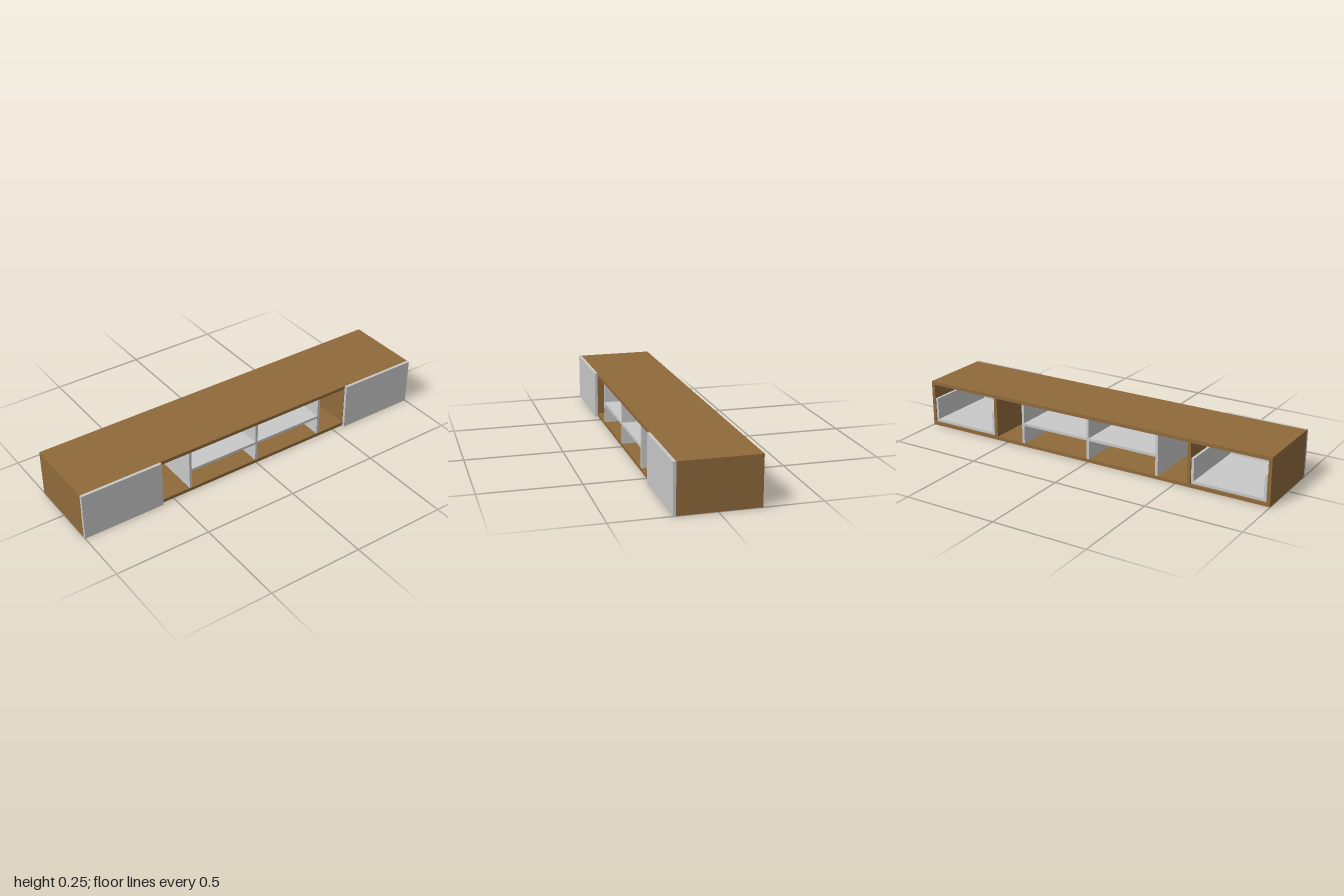
import * as THREE from 'three';

const wood = new THREE.MeshStandardMaterial({ color: 0x8f6a3b });
wood.name = 'wood';
const pale = new THREE.MeshStandardMaterial({ color: 0xc9c9c9 });
pale.name = 'paleGrey';

const BACK = -0.208, FRONT = 0.193, FACE = 0.208; // depth planes
const HEIGHT = 0.25, T = 0.018, S = 0.014; // height, case board, thin board

export function createModel() {
  const model = new THREE.Group();
  model.name = 'lowCabinet';

  // Board given by its limits along each axis
  function board(name, material, x0, x1, y0, y1, z0 = BACK, z1 = FRONT, parent = model) {
    const mesh = new THREE.Mesh(new THREE.BoxGeometry(x1 - x0, y1 - y0, z1 - z0), material);
    mesh.position.set((x0 + x1) / 2, (y0 + y1) / 2, (z0 + z1) / 2);
    mesh.name = name;
    parent.add(mesh);
  }

  // Outer case, open at the back
  board('bottomPanel', wood, -1, 1, 0, T);
  board('topPanel', wood, -1, 1, HEIGHT - T, HEIGHT);

  for (const [side, s] of [['left', 1], ['right', -1]]) {
    // Mirrored board: near and far are distances from the centre line
    const pair = (name, material, near, far, ...rest) =>
      board(side + name, material, Math.min(s * near, s * far), Math.max(s * near, s * far), ...rest);

    pair('EndPanel', wood, 1 - T, 1, T, HEIGHT - T);
    pair('CasePartition', wood, 0.565, 0.565 + T, T, HEIGHT - T);

    // Drawer: front plate, floor and two low sides
    const drawer = new THREE.Group();
    drawer.name = side + 'Drawer';
    model.add(drawer);
    const inner = 0.586, outer = 0.979;
    pair('DrawerFront', pale, 0.567, 1, 0, HEIGHT, FRONT, FACE, drawer);
    pair('DrawerFloor', pale, inner, outer, 0.022, 0.022 + S, BACK + 0.002, FRONT, drawer);
    pair('DrawerInnerSide', pale, inner, inner + S, 0.022 + S, 0.155, BACK + 0.002, FRONT, drawer);
    pair('DrawerOuterSide', pale, outer - S, outer, 0.022 + S, 0.155, BACK + 0.002, FRONT, drawer);

    // Open shelving in the middle
    pair('ShelfUpright', pale, 0.39, 0.404, T, HEIGHT - T);
    pair('Shelf', pale, S / 2, 0.39, 0.117, 0.131);
  }
  board('middleUpright', pale, -S / 2, S / 2, T, HEIGHT - T);

  return model;
}
